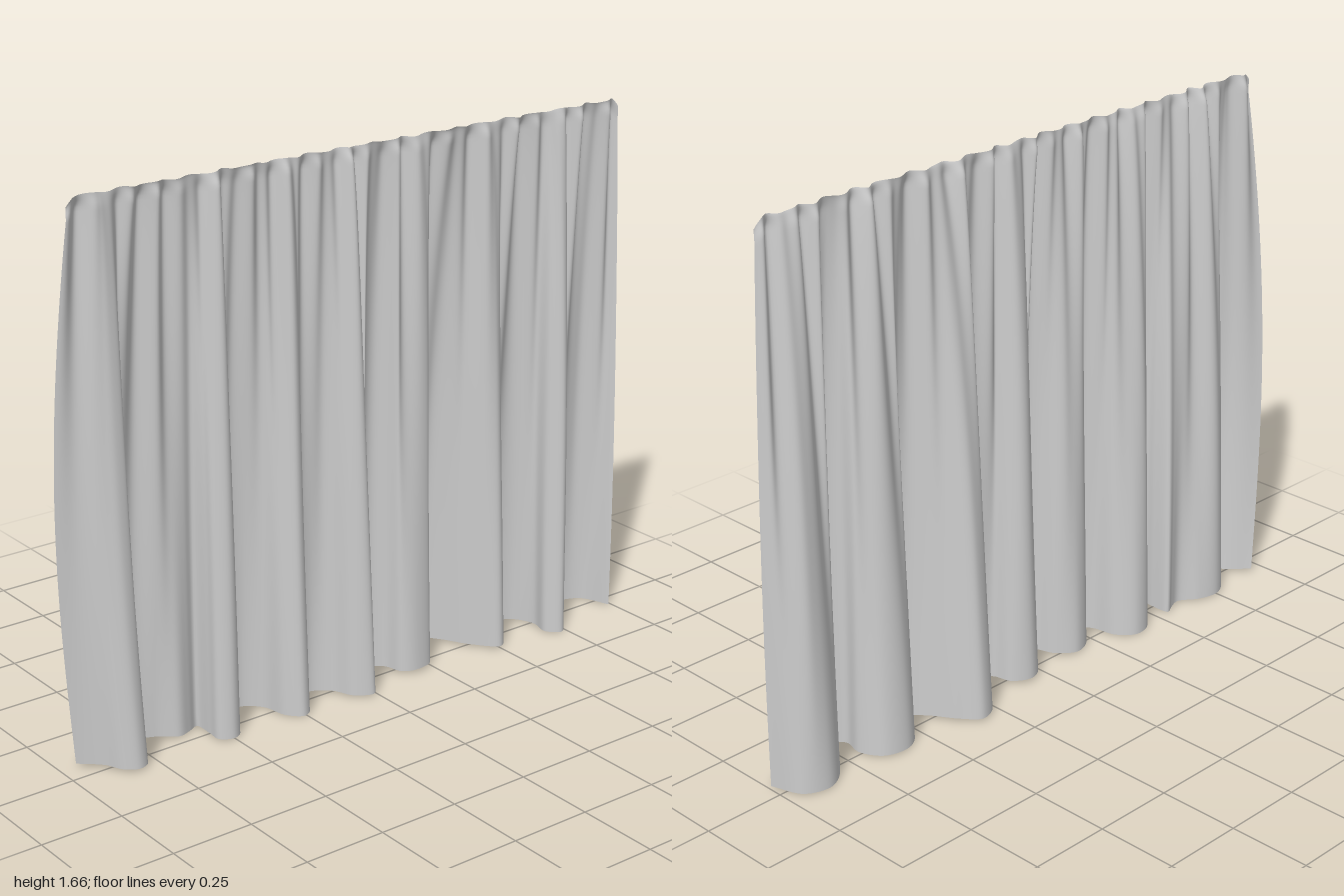
import * as THREE from 'three';

const HEIGHT = 1.665, COLS = 480, ROWS = 64;

// Hem line seen from above: x, z pairs from one side edge to the other
const HEM = [
  -0.95, -0.065, -0.89, -0.01, -0.86, 0.045, -0.82, 0.068, -0.785, 0.05, -0.79, 0.0,
  -0.81, -0.05, -0.75, -0.09, -0.68, -0.075, -0.62, -0.035, -0.58, -0.045, -0.545, -0.06,
  -0.54, 0.0, -0.54, 0.045, -0.5, 0.068, -0.465, 0.045, -0.47, -0.02, -0.43, -0.075,
  -0.37, -0.085, -0.32, -0.04, -0.3, 0.04, -0.26, 0.08, -0.225, 0.06, -0.23, 0.0,
  -0.16, -0.035, -0.1, 0.005, -0.07, 0.07, -0.015, 0.1, 0.01, 0.06, 0.005, -0.02,
  0.06, -0.055, 0.12, -0.025, 0.14, 0.035, 0.18, 0.055, 0.25, 0.04, 0.26, -0.02,
  0.265, -0.09, 0.33, -0.12, 0.38, -0.07, 0.43, 0.01, 0.5, 0.08, 0.535, 0.05,
  0.525, -0.03, 0.58, -0.075, 0.66, -0.06, 0.7, 0.01, 0.69, 0.075, 0.73, 0.11,
  0.775, 0.06, 0.79, -0.01, 0.87, -0.07, 0.95, -0.045, 0.99, 0.05,
];

const lerp = THREE.MathUtils.lerp;
const smooth = THREE.MathUtils.smoothstep;

function hemPoints() {
  const pts = [];
  for (let i = 0; i < HEM.length; i += 2) pts.push(new THREE.Vector3(HEM[i], 0, HEM[i + 1]));
  const curve = new THREE.CatmullRomCurve3(pts, false, 'centripetal');
  curve.arcLengthDivisions = 1500;
  return curve.getSpacedPoints(COLS);
}

// Gathered top line: the hem's x evened out so the cloth no longer doubles back
function gatheredX(hem) {
  const half = 26;
  const xs = hem.map((_, i) => {
    const w = Math.min(half, i, COLS - i);
    let sum = 0;
    for (let k = i - w; k <= i + w; k++) sum += hem[k].x;
    return sum / (2 * w + 1);
  });
  const a = xs[0], b = xs[COLS];
  return xs.map((x) => lerp(-0.965, 0.975, (x - a) / (b - a)));
}

function curtainGeometry() {
  const hem = hemPoints(), topX = gatheredX(hem);
  const pos = [], index = [];
  for (let r = 0; r <= ROWS; r++) {
    // rows crowd towards the rounded top
    const v = 1 - Math.pow(1 - r / ROWS, 1.5);
    const drop = 1 - v;
    const fold = Math.pow(drop, 0.68);                   // deep folds open downwards
    const pleat = Math.pow(v, 1.3) * (1 - 0.55 * smooth(v, 0.975, 1)); // fine gathers at the top
    const mid = Math.sin(Math.PI * v);
    for (let c = 0; c <= COLS; c++) {
      const h = hem[c], tx = topX[c];
      const edgeL = Math.exp(-(tx + 0.965) / 0.1);
      const edgeR = Math.exp(-(0.975 - tx) / 0.1);
      const x = lerp(tx, h.x, fold) - 0.045 * mid * edgeL + 0.01 * mid * edgeR;
      const gather = 0.014 * Math.sin(tx * 62 + 1.6 * Math.sin(tx * 9))
        + 0.008 * Math.sin(tx * 105 + 2 * Math.sin(tx * 5 + 1));
      const crease = 0.007 * mid * Math.sin(tx * 47 + 2.2 * Math.sin(tx * 7) + v * 1.5);
      const z = lerp(0.026, h.z, fold) + gather * pleat + crease;
      // slightly uneven hem, wavy top edge and rounded top corners
      const low = 0.006 + 0.005 * Math.sin(tx * 5 + 0.6);
      const d = Math.max(0, 0.03 - (tx + 0.965), 0.03 - (0.975 - tx));
      const high = HEIGHT - 0.003 + 0.003 * Math.sin(tx * 62) - 25 * d * d;
      pos.push(x, lerp(low, high, v), z);
    }
  }
  const n = COLS + 1;
  for (let r = 0; r < ROWS; r++) {
    for (let c = 0; c < COLS; c++) {
      const a = r * n + c;
      index.push(a, a + 1, a + n, a + 1, a + n + 1, a + n);
    }
  }
  const geo = new THREE.BufferGeometry();
  geo.setAttribute('position', new THREE.Float32BufferAttribute(pos, 3));
  geo.setIndex(index);
  geo.computeVertexNormals();
  return geo;
}

export function createModel() {
  const group = new THREE.Group();
  group.name = 'curtain';
  const cloth = new THREE.Mesh(
    curtainGeometry(),
    new THREE.MeshStandardMaterial({ color: 0xcccccc, side: THREE.DoubleSide })
  );
  cloth.name = 'curtainCloth';
  group.add(cloth);
  return group;
}
